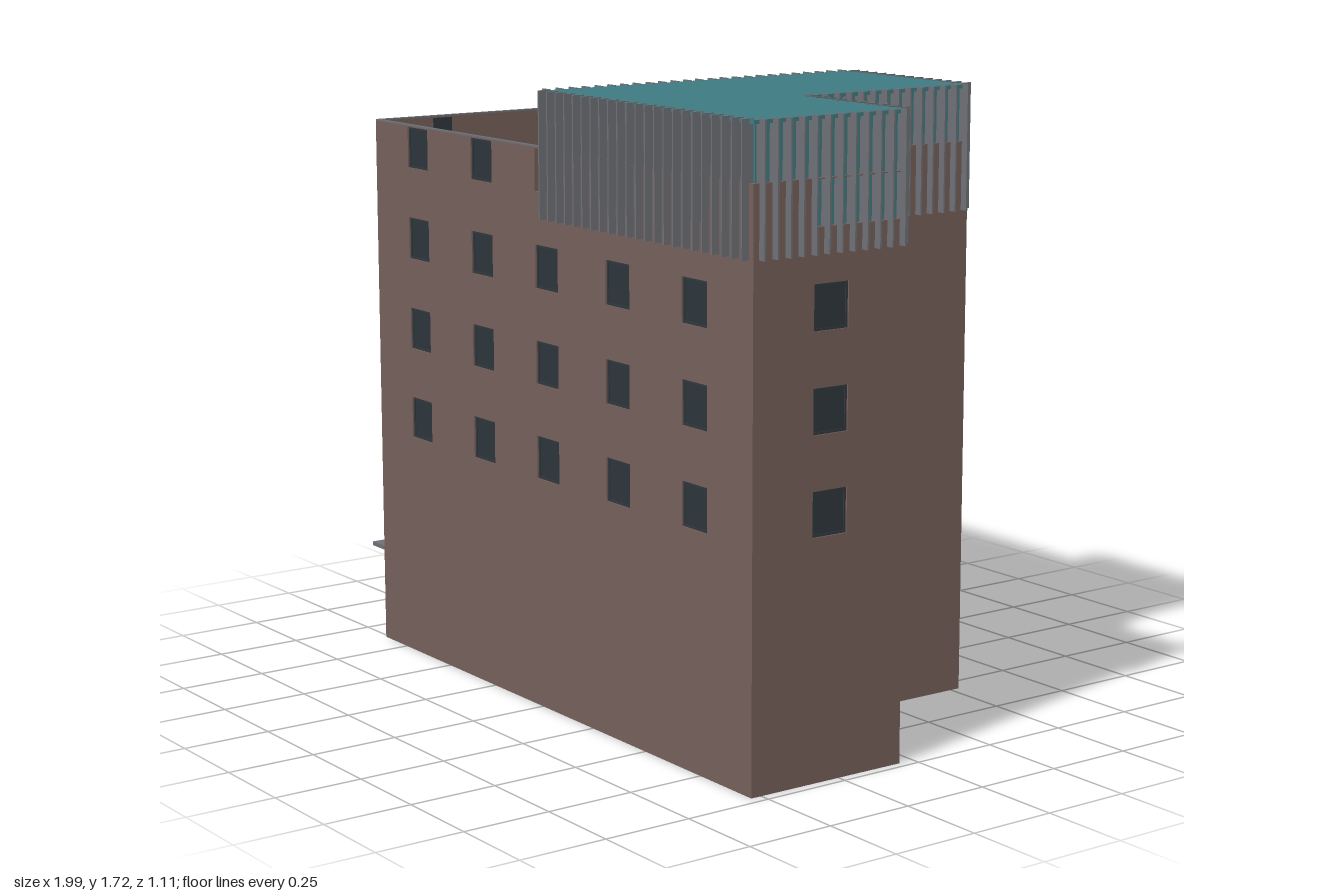
import * as THREE from 'three';

const mat = (name, color) => {
  const m = new THREE.MeshStandardMaterial({ color });
  m.name = name;
  return m;
};

export function createModel() {
  const brick = mat('brown brick', 0x735f59);
  const teal = mat('teal cladding', 0x3d7b81);
  const metal = mat('grey metal', 0x6d7075);
  const glass = mat('dark glass', 0x2d353b);
  const paleGlass = mat('grey glass', 0x62676c);
  const frameMat = mat('dark frame', 0x30373c);
  const roofMat = mat('pale roof', 0xc0bcb8);

  const model = new THREE.Group();
  const T = 0.012, H = 1.565;

  const add = (parent, name, geo, material, x = 0, y = 0, z = 0) => {
    const mesh = new THREE.Mesh(geo, material);
    mesh.name = name;
    mesh.position.set(x, y, z);
    parent.add(mesh);
    return mesh;
  };
  const box = (parent, name, material, w, h, d, x, y, z) =>
    add(parent, name, new THREE.BoxGeometry(w, h, d), material, x, y, z);
  const rectPoints = (x0, x1, y0, y1) =>
    [[x0, y0], [x1, y0], [x1, y1], [x0, y1]].map(p => new THREE.Vector2(...p));
  const extrude = (shape, depth) =>
    new THREE.ExtrudeGeometry(shape, { depth, bevelEnabled: false });

  // Frame of reference along an edge: x runs a to b, +z points outward
  const edgeGroup = (name, a, b) => {
    const g = new THREE.Group();
    g.name = name;
    g.position.set(a[0], 0, a[1]);
    g.rotation.y = Math.atan2(-(b[1] - a[1]), b[0] - a[0]);
    model.add(g);
    return g;
  };
  const edgeLength = (a, b) => Math.hypot(b[0] - a[0], b[1] - a[1]);

  // Wall with openings; each opening: centre, width, bottom, top, glass, panes
  const wall = (name, a, b, openings) => {
    const g = edgeGroup(name, a, b);
    const axis = Math.abs(b[0] - a[0]) > Math.abs(b[1] - a[1]) ? 0 : 1;
    const shape = new THREE.Shape(rectPoints(0, edgeLength(a, b), 0, H));
    for (const { c, w, y0, y1, pane, panes = 1 } of openings) {
      const u = Math.abs(c - a[axis]), l = u - w / 2, r = u + w / 2;
      shape.holes.push(new THREE.Path(rectPoints(l, r, y0, y1)));
      if (!pane) continue;
      const h = y1 - y0, f = 0.006;
      box(g, 'windowGlass', pane, w, h, 0.003, u, y0 + h / 2, -T + 0.003);
      const ring = new THREE.Shape(rectPoints(l, r, y0, y1));
      ring.holes.push(new THREE.Path(rectPoints(l + f, r - f, y0 + f, y1 - f)));
      add(g, 'windowFrame', extrude(ring, 0.003), frameMat, 0, 0, -T + 0.0045);
      for (let i = 1; i < panes; i++)
        box(g, 'mullion', frameMat, f, h, 0.006, l + w * i / panes, y0 + h / 2, -T + 0.005);
    }
    add(g, name + 'Panel', extrude(shape, T), brick, 0, 0, -T);
  };

  // Window rows, lowest first; the top row stays unglazed behind the cladding
  const rowY = i => 0.65 + i * 0.265;
  const column = (c, { w = 0.11, first = 0, last = 3, clad = false } = {}) => {
    const list = [];
    for (let i = first; i <= last; i++)
      list.push({ c, w, y0: rowY(i), y1: Math.min(rowY(i) + 0.12, H - 0.003),
        pane: i === 3 && clad ? null : glass });
    return list;
  };

  // L-shaped outline, anticlockwise seen from above, as [x, z]
  const L = -0.868, R = 0.977, F = 0.52, B = -0.535, NX = 0.552, NZ = 0.035;
  wall('frontWall', [L, F], [R, F],
    [-0.63, -0.285, 0.045, 0.385, 0.73].flatMap(c => column(c, { clad: c > 0 })));
  wall('endWall', [R, F], [R, NZ], [
    ...column(0.275, { last: 2 }),
    { c: 0.19, w: 0.28, y0: 1.443, y1: H - 0.003 }]);
  wall('notchBackWall', [R, NZ], [NX, NZ], column(0.765, { clad: true }));
  wall('notchSideWall', [NX, NZ], [NX, B], [
    ...column(-0.252, { last: 2 }),
    { c: -0.143, w: 0.326, y0: 1.438, y1: H - 0.003 }]);
  wall('backWall', [NX, B], [L, B],
    [0.335, 0.015, -0.295, -0.625].flatMap(c => column(c, { clad: c > 0 })));
  wall('entranceWall', [L, B], [L, F], [
    ...column(0.3, { w: 0.065, first: 1 }),
    { c: -0.01, w: 0.815, y0: 0.38, y1: 0.56, pane: paleGlass, panes: 4 },
    { c: -0.01, w: 0.99, y0: 0.01, y1: 0.25, pane: glass, panes: 4 }]);

  // Entrance canopy and the plate above it
  box(model, 'entranceCanopy', metal, 0.125, 0.012, 1.0, L - 0.06, 0.262, -0.01);
  box(model, 'canopyPlate', metal, 0.008, 0.045, 0.26, L - 0.005, 0.29, -0.33);

  // Flat roof, inner curb and parapet coping
  const midX = (L + 0.03) / 2, midZ = (F + B) / 2, spanX = 0.03 - L, spanZ = F - B;
  box(model, 'flatRoof', roofMat, spanX - T, 0.012, spanZ - 2 * T, midX + T / 2, 1.33, midZ);
  for (const [z, s] of [[F, -1], [B, 1]]) {
    box(model, 'roofCurb', brick, spanX - 2 * T, 0.035, 0.008, midX, 1.35, z + s * (T + 0.004));
    box(model, 'coping', metal, spanX - 0.02, 0.005, T, midX - 0.01, H + 0.002, z + s * T / 2);
  }
  box(model, 'roofCurb', brick, 0.008, 0.035, spanZ - 2 * T, L + T + 0.004, 1.35, midZ);
  box(model, 'coping', metal, T, 0.005, spanZ, L + T / 2, H + 0.002, midZ);

  // Teal rooftop storey: body just inside the walls, thin cap over them
  const PX = 0.025;
  const outline = inset => [
    [PX, F - inset], [R - inset, F - inset], [R - inset, NZ + inset],
    [NX - inset, NZ + inset], [NX - inset, B + inset], [PX, B + inset]];
  const slab = (name, inset, y0, y1) => {
    const shape = new THREE.Shape(outline(inset).map(([x, z]) => new THREE.Vector2(x, -z)));
    add(model, name, extrude(shape, y1 - y0).rotateX(-Math.PI / 2), teal, 0, y0, 0);
  };
  slab('rooftopStorey', T + 0.001, 1.335, 1.715);
  slab('rooftopCap', 0.001, 1.71, 1.72);

  // Upright fins all round the rooftop storey
  const corners = outline(0);
  const finGeo = new THREE.BoxGeometry(0.005, 0.348, 0.036);
  corners.forEach((a, i) => {
    const b = corners[(i + 1) % corners.length];
    const g = edgeGroup('finRow', a, b);
    const len = edgeLength(a, b), n = Math.round(len / 0.042);
    for (let k = 0; k < n; k++)
      add(g, 'fin', finGeo, metal, (k + 0.5) * len / n, 1.549, 0.004);
  });

  // The plan sits very slightly turned
  model.rotation.y = -0.012;
  const root = new THREE.Group();
  root.name = 'building';
  model.name = 'buildingBody';
  root.add(model);
  return root;
}
